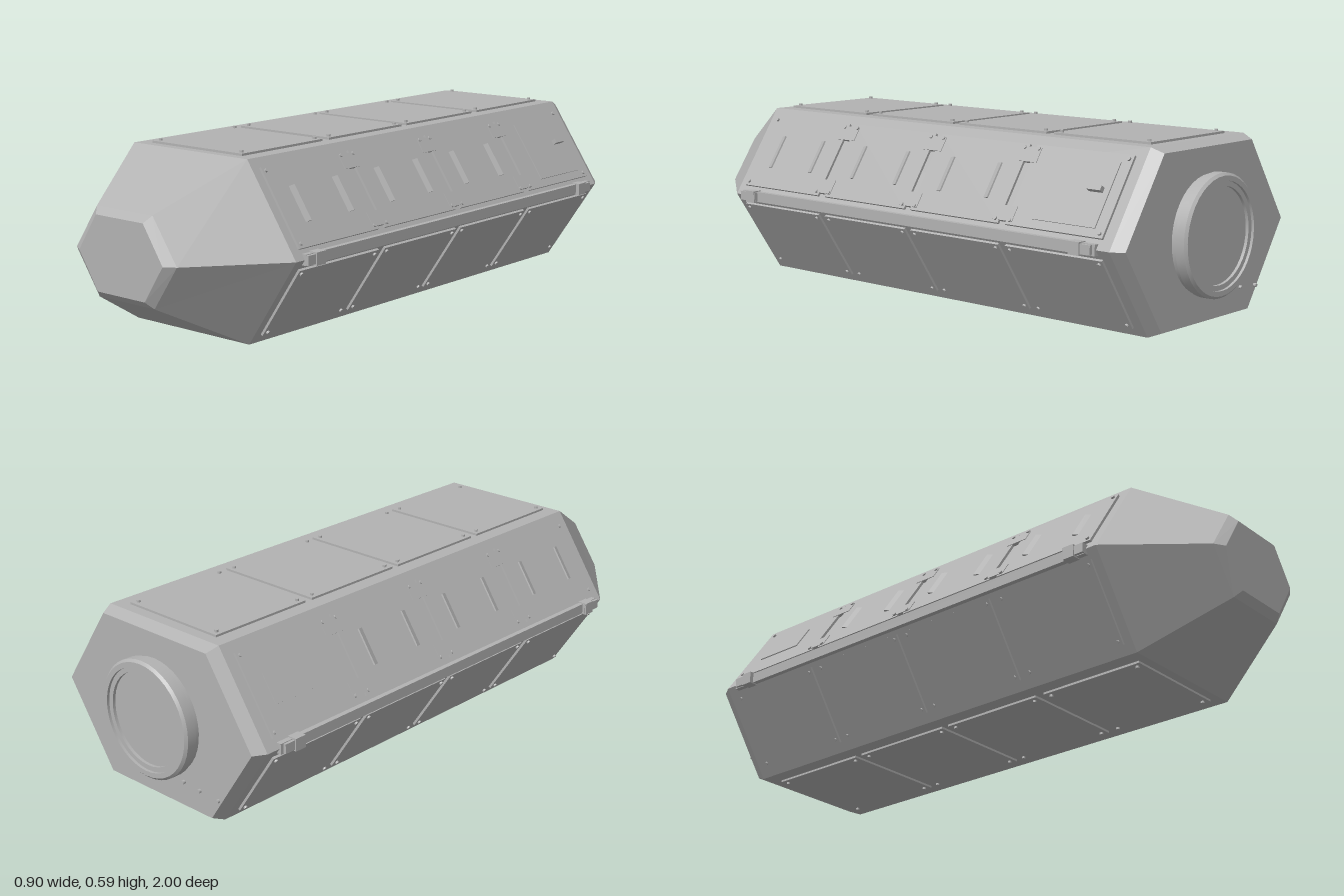
import * as THREE from 'three';
import { toCreasedNormals } from 'three/addons/utils/BufferGeometryUtils.js';

const MID = 0.295, HALF_W = 0.43, HALF_TOP = 0.24, HALF_H = 0.281;
const PANEL_Z = [0.497, 0.1, -0.292, -0.686], PANEL_LEN = 0.366;

// Six-sided sections joined in loops, front to back
function hullGeometry() {
  const sections = [
    [1.0, 0.178, 0.1, 0.117],
    [0.978, 0.214, 0.118, 0.139],
    [0.71, HALF_W, HALF_TOP, HALF_H],
    [-0.905, HALF_W, HALF_TOP, HALF_H],
    [-0.945, 0.406, 0.227, 0.265],
  ].map(([z, w, t, h]) =>
    [[w, 0], [t, h], [-t, h], [-w, 0], [-t, -h], [t, -h]].map(([x, y]) => [x, y + MID, z]));
  const pos = [];
  const tri = (...p) => p.forEach((v) => pos.push(...v));
  const first = sections[0], last = sections[sections.length - 1];
  for (let i = 0; i < 6; i++) {
    const j = (i + 1) % 6;
    for (let k = 0; k < sections.length - 1; k++) {
      const f = sections[k], b = sections[k + 1];
      tri(f[i], b[i], b[j]);
      tri(f[i], b[j], f[j]);
    }
    tri([0, MID, first[0][2]], first[i], first[j]);
    tri([0, MID, last[0][2]], last[j], last[i]);
  }
  const g = new THREE.BufferGeometry();
  g.setAttribute('position', new THREE.Float32BufferAttribute(pos, 3));
  g.computeVertexNormals();
  return g;
}

export function createModel() {
  const model = new THREE.Group();
  model.name = 'cargoPod';
  const metal = new THREE.MeshStandardMaterial({ color: 0xb2b2b2 });
  metal.name = 'grey metal';

  const add = (parent, name, geometry, x = 0, y = 0, z = 0) => {
    const m = new THREE.Mesh(geometry, metal);
    m.name = name;
    m.position.set(x, y, z);
    parent.add(m);
    return m;
  };
  const box = (parent, name, w, h, d, x, y, z) =>
    add(parent, name, new THREE.BoxGeometry(w, h, d), x, y, z);
  const screwShape = toCreasedNormals(new THREE.CylinderGeometry(0.006, 0.006, 0.014, 10), 0.9);

  // Group lying on a hull face: local x across the face, local y outward
  const face = (name, x, y, angle) => {
    const g = new THREE.Group();
    g.name = name;
    g.position.set(x, y, 0);
    g.rotation.z = angle - Math.PI / 2;
    model.add(g);
    return g;
  };
  // Four plates with a screw in each corner
  const panels = (g, width, inset, thick) => {
    for (const z of PANEL_Z) {
      box(g, 'panel', width, thick, PANEL_LEN, 0, thick / 2, z);
      for (const sx of [-1, 1]) for (const sz of [-1, 1])
        add(g, 'screw', screwShape, sx * (width / 2 - inset), 0.007, z + sz * (PANEL_LEN / 2 - inset));
    }
  };

  add(model, 'hull', hullGeometry());

  // Top and bottom
  panels(face('topPanels', 0, MID + HALF_H, Math.PI / 2), 0.38, 0.018, 0.007);
  panels(face('bottomPanels', 0, MID - HALF_H, -Math.PI / 2), 0.38, 0.018, 0.007);

  // Sloping sides
  for (const s of [1, -1]) {
    for (const up of [1, -1]) {
      const angle = Math.atan2(up * (HALF_W - HALF_TOP), s * HALF_H);
      const g = face(up > 0 ? 'upperSide' : 'lowerSide',
        s * (HALF_W + HALF_TOP) / 2, MID + up * HALF_H / 2, angle);
      panels(g, 0.27, 0.014, 0.008);
      if (up < 0) continue;

      // Joining tabs between plates
      for (const z of [0.299, -0.096, -0.489])
        for (const t of [-1, 1]) box(g, 'joiningTab', 0.05, 0.01, 0.075, t * 0.1, 0.005, z);

      // Tilted louvres, two on each of the front three plates
      for (const z of PANEL_Z.slice(0, 3)) for (const o of [-0.098, 0.098]) {
        const louvre = box(g, 'louvre', 0.12, 0.005, 0.022, 0, 0.009, z + o);
        louvre.rotation.x = 0.35;
      }

      // Hatch with handle on one side, small cover on the other
      if (s > 0) {
        box(g, 'hatch', 0.215, 0.005, 0.235, 0, 0.009, -0.715);
        box(g, 'hatchHandle', 0.016, 0.02, 0.05, -0.012, 0.018, -0.787);
      } else {
        box(g, 'cover', 0.1, 0.005, 0.18, 0, 0.009, -0.72);
      }
    }

    // Edge rail with end clamps
    box(model, 'edgeRail', 0.025, 0.034, 1.53, s * 0.423, MID, -0.093);
    for (const z of [0.62, -0.79]) {
      box(model, 'railClamp', 0.04, 0.04, 0.04, s * 0.429, MID, z);
      box(model, 'clampFoot', 0.032, 0.03, 0.075, s * 0.429, MID, z + (z > 0 ? 0.015 : -0.02));
    }
  }

  // Rear docking collar with a recessed door
  const profile = [[0.184, 0], [0.184, 0.014], [0.19, 0.016], [0.19, 0.047], [0.182, 0.055],
    [0.166, 0.055], [0.166, 0.046], [0.15, 0.046], [0.15, 0.036], [0, 0.036]];
  const collar = add(model, 'dockingCollar', toCreasedNormals(
    new THREE.LatheGeometry(profile.map(([r, y]) => new THREE.Vector2(r, y)), 40), 0.5), 0, MID, -0.945);
  collar.rotation.x = -Math.PI / 2;

  // Rear studs
  for (const [x, y] of [[-0.11, 0.11], [-0.18, 0.105], [-0.26, 0.1]]) {
    const stud = add(model, 'rearStud', screwShape, x, y, -0.947);
    stud.rotation.x = -Math.PI / 2;
  }
  return model;
}
